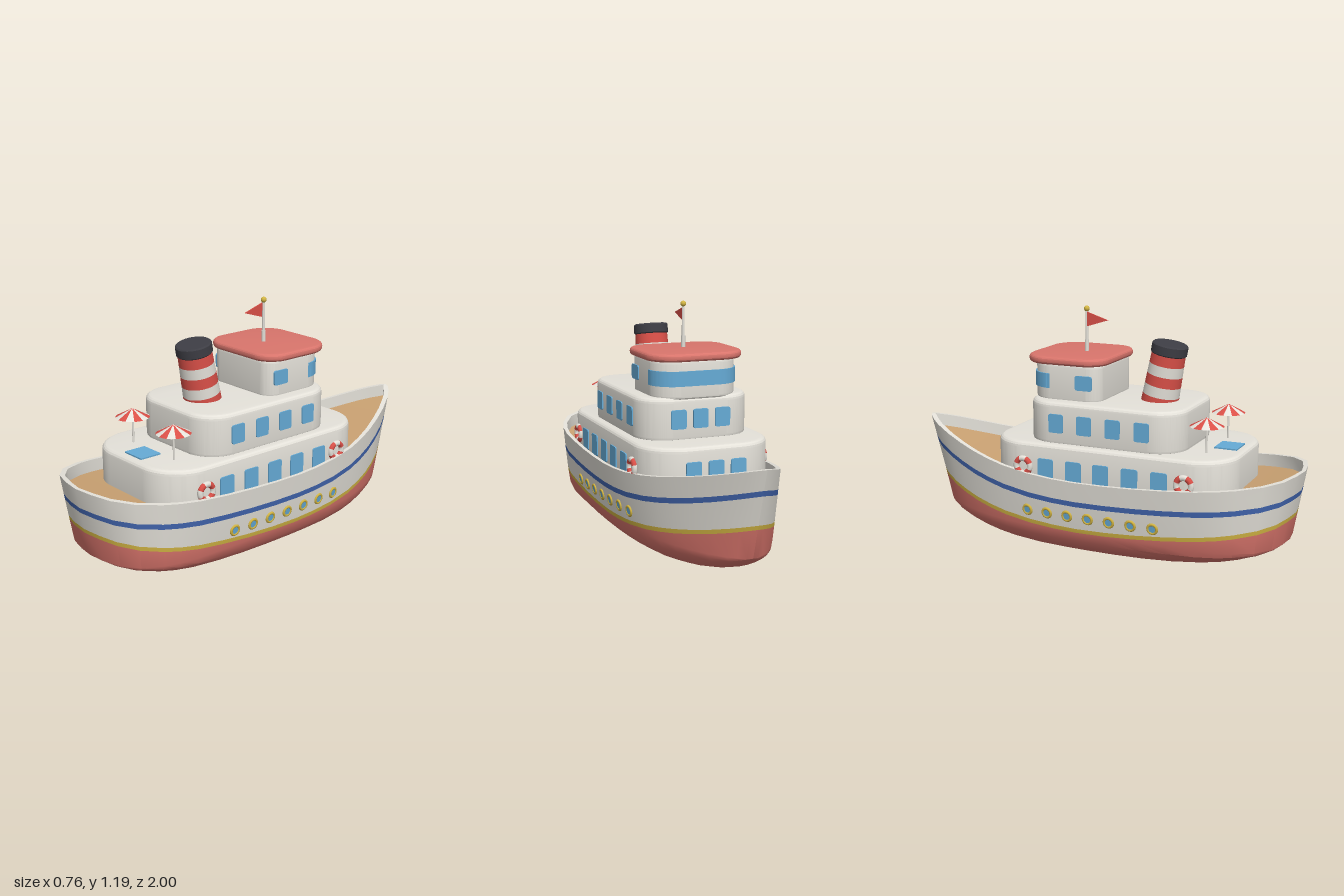
import * as THREE from 'three';
import { toCreasedNormals } from 'three/addons/utils/BufferGeometryUtils.js';

const mat = (name, color, side = THREE.FrontSide) => {
  const m = new THREE.MeshStandardMaterial({ color, side });
  m.name = name;
  return m;
};
const M = {
  white: mat('white paint', 0xe4e1d9),
  hullRed: mat('hull red', 0xd9756c),
  red: mat('signal red', 0xda5048, THREE.DoubleSide),
  blue: mat('stripe blue', 0x4266b0),
  yellow: mat('yellow trim', 0xd2b544),
  deck: mat('deck wood', 0xc9a172),
  glass: mat('window blue', 0x66abd6),
  dark: mat('funnel black', 0x3e3e45),
  canvas: mat('canvas white', 0xe9e6df, THREE.DoubleSide),
};

function add(parent, name, geo, material, x = 0, y = 0, z = 0) {
  const m = new THREE.Mesh(geo, material);
  m.name = name;
  m.position.set(x, y, z);
  parent.add(m);
  return m;
}

// Hull lines: [z, half width] from bow to stern
const STATIONS = [[-1, 0], [-0.985, 0.03], [-0.95, 0.065], [-0.9, 0.105], [-0.8, 0.165], [-0.7, 0.215],
  [-0.6, 0.26], [-0.5, 0.297], [-0.4, 0.327], [-0.25, 0.355], [-0.12, 0.367], [0, 0.374], [0.15, 0.378],
  [0.3, 0.38], [0.45, 0.38], [0.6, 0.377], [0.7, 0.363], [0.78, 0.34], [0.885, 0.285], [0.955, 0.2],
  [0.985, 0.1], [1, 0]];
const CHINE = 0.165;
const sheer = (z) => 0.42 + (z < 0 ? 0.16 : 0.08) * Math.abs(z) ** 1.9;
const paintLine = (z) => 0.168 + (z < 0 ? 0.135 : 0.11) * Math.abs(z) ** 1.8;

// Point on the topside at station (z, w) and height y
function sidePoint(z, w, y) {
  const f = (y - CHINE) / (sheer(z) - CHINE);
  const rake = (z < 0 ? 0.12 : 0.06) * Math.abs(z) ** 3 * (1 - f);
  return [w * (0.92 + 0.08 * f ** 0.8), y, z * (1 - rake)];
}

function halfWidth(z) {
  const i = STATIONS.findIndex((s) => s[0] >= z);
  const [a, b] = [STATIONS[i - 1], STATIONS[i]];
  return a[1] + (b[1] - a[1]) * (z - a[0]) / (b[0] - a[0]);
}

// Closed section: topside, bilge, keel, other side, bulwark inside, deck
function section([z, w]) {
  const s = sheer(z), p = paintLine(z);
  const side = [s, s - 0.095, s - 0.12, p + 0.02, p, CHINE].map((y) => sidePoint(z, w, y));
  const [cx, , cz] = side[5];
  const depth = CHINE * (1 - Math.abs(z) ** 2.7);
  for (let k = 1; k <= 5; k++) {
    const a = k * Math.PI / 12;
    side.push([cx * Math.cos(a), CHINE - depth * Math.sin(a), cz]);
  }
  const mirror = side.slice().reverse().map(([x, y, zz]) => [-x, y, zz]);
  const iw = Math.max(0, w - 0.018), iz = z * 0.982;
  return [...side, [0, CHINE - depth, cz], ...mirror,
    [-iw, s, iz], [-iw, s - 0.06, iz], [iw, s - 0.06, iz], [iw, s, iz], side[0]];
}

function hullGeometry(rowMaterials) {
  const rings = STATIONS.map(section), n = rings[0].length;
  const pos = rings.flat(2), index = [], geo = new THREE.BufferGeometry();
  const v = (i) => new THREE.Vector3().fromArray(pos, i * 3);
  const tri = (a, b, c) => {
    const A = v(a);
    if (v(b).sub(A).cross(v(c).sub(A)).length() > 1e-8) index.push(a, b, c);
  };
  for (let j = 0; j < n - 1; j++) {
    const start = index.length;
    for (let i = 0; i < rings.length - 1; i++) {
      const a = i * n + j, b = a + n;
      tri(a, b, a + 1);
      tri(b, b + 1, a + 1);
    }
    geo.addGroup(start, index.length - start, rowMaterials[j]);
  }
  geo.setAttribute('position', new THREE.Float32BufferAttribute(pos, 3));
  geo.setIndex(index);
  return toCreasedNormals(geo, 0.5);
}

// Rounded rectangle; r0 rounds the +y corners, r1 the -y corners
function roundedRect(x, y0, y1, r0, r1) {
  const s = new THREE.Shape(), H = Math.PI / 2;
  s.absarc(x - r0, y1 - r0, r0, 0, H);
  s.absarc(-x + r0, y1 - r0, r0, H, 2 * H);
  s.absarc(-x + r1, y0 + r1, r1, 2 * H, 3 * H);
  s.absarc(x - r1, y0 + r1, r1, 3 * H, 4 * H);
  s.closePath();
  return s;
}

// Upright block with rounded plan corners and softened edges
function block(hx, zBow, zStern, y0, y1, rBow, rStern, b) {
  const shape = roundedRect(hx - b, -zStern + b, -zBow - b, rBow - b, rStern - b);
  const geo = new THREE.ExtrudeGeometry(shape, { depth: y1 - y0 - 2 * b, curveSegments: 12,
    bevelEnabled: b > 0, bevelSize: b, bevelThickness: b, bevelSegments: 4 });
  geo.rotateX(-Math.PI / 2).translate(0, y0 + b, 0);
  return toCreasedNormals(geo, 0.2);
}

// Window plate facing +z
function plate(w, h) {
  const geo = new THREE.ExtrudeGeometry(roundedRect(w / 2, -h / 2, h / 2, 0.01, 0.01),
    { depth: 0.009, bevelEnabled: false, curveSegments: 4 });
  return geo;
}

function buildWindows(g) {
  const row = (hx, y, h, zs, w) => {
    for (const s of [-1, 1]) for (const z of zs)
      add(g, 'sideWindow', plate(w, h), M.glass, s * hx, y, z).rotation.y = s * Math.PI / 2;
  };
  row(0.322, 0.453, 0.105, [0.41, 0.265, 0.12, -0.02, -0.165], 0.08);
  row(0.277, 0.67, 0.09, [0.305, 0.16, 0.015, -0.13], 0.075);
  row(0.207, 0.857, 0.07, [-0.02], 0.085);
  for (const x of [-0.11, 0, 0.11]) {
    add(g, 'frontWindow', plate(0.075, 0.1), M.glass, x, 0.46, -0.49).rotation.y = Math.PI;
    add(g, 'frontWindow', plate(0.075, 0.09), M.glass, x, 0.67, -0.31).rotation.y = Math.PI;
  }
  add(g, 'bridgeWindow', block(0.215, -0.315, -0.212, 0.822, 0.892, 0.12, 0.002, 0), M.glass);
}

function buildPortholes(g) {
  const y = 0.247;
  const x = (z, yy) => sidePoint(z, halfWidth(z), yy)[0];
  for (const s of [-1, 1]) for (let i = 0; i < 7; i++) {
    const z = 0.395 - i * 0.109, p = new THREE.Group();
    p.name = 'porthole';
    p.position.set(s * x(z, y), y, z);
    const dy = (x(z, y + 0.02) - x(z, y - 0.02)) / 0.04;
    const dz = (x(z + 0.02, y) - x(z - 0.02, y)) / 0.04;
    p.quaternion.setFromUnitVectors(new THREE.Vector3(0, 0, 1), new THREE.Vector3(s, -dy, -dz).normalize());
    add(p, 'portholeRing', new THREE.TorusGeometry(0.022, 0.007, 8, 20), M.yellow);
    add(p, 'portholeGlass', new THREE.CylinderGeometry(0.021, 0.021, 0.008, 20).rotateX(Math.PI / 2), M.glass);
    g.add(p);
  }
}

function buildLifebuoys(g) {
  for (const s of [-1, 1]) for (const z of [0.53, -0.283]) {
    const ring = new THREE.Group();
    ring.name = 'lifebuoy';
    ring.position.set(s * 0.328, 0.46, z);
    ring.rotation.y = Math.PI / 2;
    for (let k = 0; k < 8; k++)
      add(ring, 'lifebuoySegment', new THREE.TorusGeometry(0.036, 0.014, 10, 6, Math.PI / 4),
        k % 2 ? M.white : M.red).rotation.z = (k + 0.5) * Math.PI / 4;
    g.add(ring);
  }
}

function buildUmbrella(g, x) {
  const u = new THREE.Group();
  u.name = 'umbrella';
  u.position.set(x, 0.57, 0.575);
  add(u, 'umbrellaPole', new THREE.CylinderGeometry(0.005, 0.005, 0.165, 10), M.white, 0, 0.082, 0);
  const n = 12, step = Math.PI * 2 / n;
  for (let k = 0; k < n; k++)
    add(u, 'umbrellaPanel', new THREE.ConeGeometry(0.08, 0.042, 2, 1, true, k * step, step),
      k % 2 ? M.canvas : M.red, 0, 0.151, 0);
  g.add(u);
}

function buildFunnel(g) {
  const f = new THREE.Group();
  f.name = 'funnel';
  f.position.set(0, 0.745, 0.28);
  f.rotation.x = 0.18;
  const r = (h) => 0.09 - 0.036 * h;
  for (let k = 0; k < 5; k++) {
    const h = k * 0.05;
    add(f, 'funnelBand', new THREE.CylinderGeometry(r(h + 0.05), r(h), 0.05, 32), k % 2 ? M.white : M.red, 0, h + 0.025, 0);
  }
  const cap = [[0, 0], [0.08, 0], [0.086, 0.006], [0.086, 0.046], [0.08, 0.052], [0, 0.052]];
  add(f, 'funnelCap', toCreasedNormals(new THREE.LatheGeometry(cap.map((p) => new THREE.Vector2(...p)), 32), 0.4),
    M.dark, 0, 0.248, 0);
  g.add(f);
}

function buildMast(g) {
  add(g, 'mast', new THREE.CylinderGeometry(0.007, 0.007, 0.21, 12), M.white, 0, 1.07, -0.1);
  add(g, 'mastFoot', new THREE.CylinderGeometry(0.01, 0.01, 0.06, 12), M.white, 0, 1, -0.1);
  add(g, 'mastBall', new THREE.SphereGeometry(0.014, 16, 12), M.yellow, 0, 1.18, -0.1);
  const flag = new THREE.Shape([[0, 0.035], [0, -0.035], [0.11, 0]].map((p) => new THREE.Vector2(...p)));
  add(g, 'pennant', new THREE.ExtrudeGeometry(flag, { depth: 0.006, bevelEnabled: false }),
    M.red, -0.003, 1.13, -0.095).rotation.y = -Math.PI / 2;
}

export function createModel() {
  const g = new THREE.Group();
  g.name = 'steamship';

  // Hull rows: white, blue stripe, white, yellow line, red bottom, mirrored, bulwark, deck
  const sideRows = [0, 1, 0, 2, 3, 3, 3, 3, 3, 3, 3];
  const rows = [...sideRows, ...sideRows.slice().reverse(), 0, 0, 4, 0, 0];
  add(g, 'hull', hullGeometry(rows), [M.white, M.blue, M.white, M.yellow, M.hullRed, M.deck].filter((m, i) => i !== 2));

  // Superstructure
  add(g, 'lowerCabin', block(0.325, -0.49, 0.73, 0.33, 0.575, 0.2, 0.2, 0.025), M.white);
  add(g, 'upperCabin', block(0.28, -0.31, 0.48, 0.56, 0.77, 0.15, 0.15, 0.025), M.white);
  add(g, 'bridge', block(0.21, -0.31, 0.055, 0.755, 0.945, 0.12, 0.07, 0.02), M.white);
  add(g, 'bridgeRoof', block(0.238, -0.34, 0.078, 0.937, 0.975, 0.13, 0.11, 0.017), M.hullRed);
  add(g, 'pool', new THREE.BoxGeometry(0.125, 0.009, 0.11), M.glass, 0, 0.577, 0.635);

  buildWindows(g);
  buildPortholes(g);
  buildLifebuoys(g);
  for (const x of [-0.155, 0.155]) buildUmbrella(g, x);
  buildFunnel(g);
  buildMast(g);
  return g;
}
